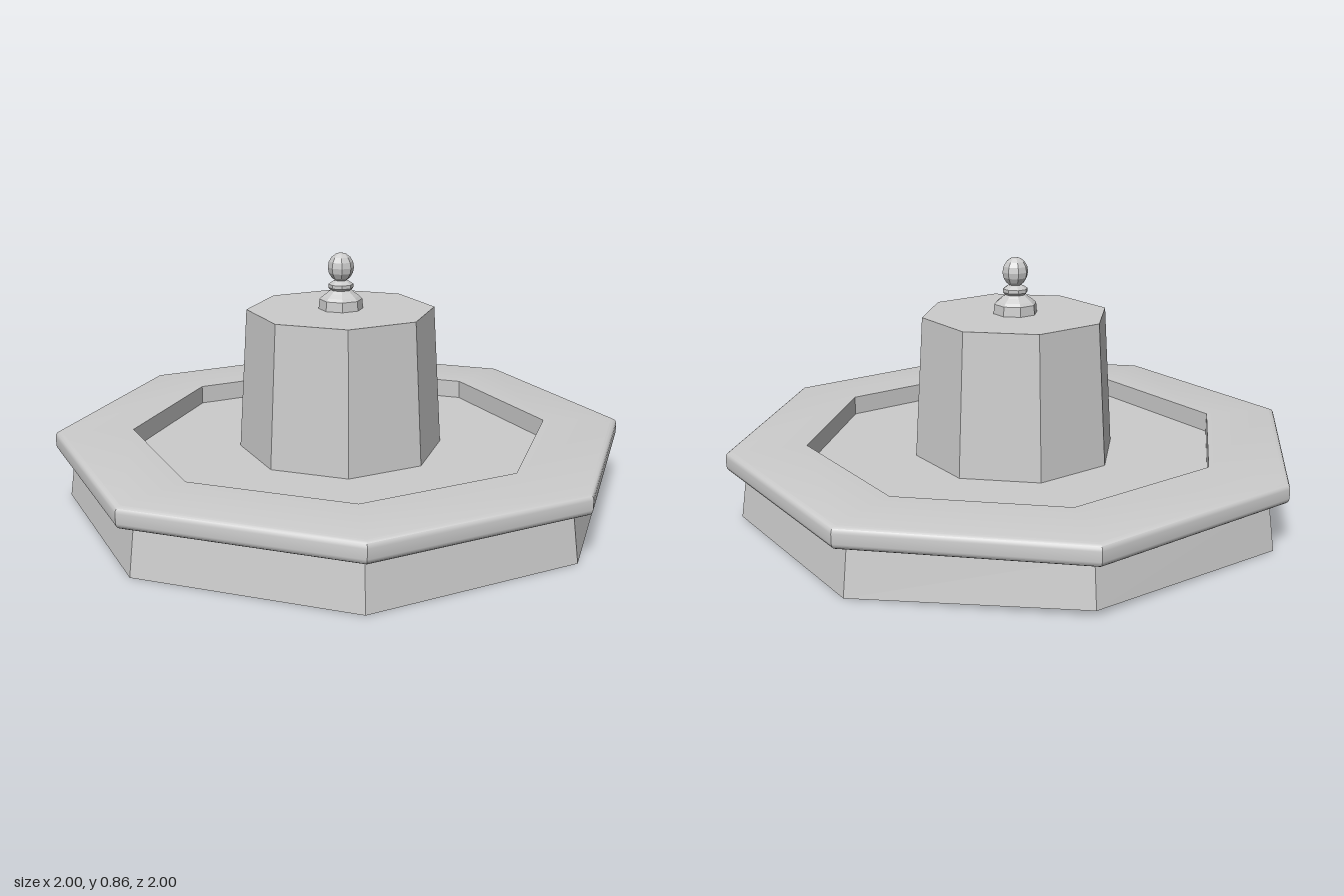
import * as THREE from 'three';
import { toCreasedNormals } from 'three/addons/utils/BufferGeometryUtils.js';

const SIDES = 8;
const material = new THREE.MeshStandardMaterial({ color: 0xcccccc, flatShading: true });
const smoothMaterial = new THREE.MeshStandardMaterial({ color: 0xcccccc });

export function createModel() {
  const group = new THREE.Group();
  const add = (name, geometry, y = 0, mat = material) => {
    const mesh = new THREE.Mesh(geometry, mat);
    mesh.name = name;
    mesh.position.y = y;
    group.add(mesh);
    return mesh;
  };
  // Eight-sided turned part, profile listed from bottom to top
  const turned = (points) =>
    new THREE.LatheGeometry(points.map(([r, y]) => new THREE.Vector2(r, y)), SIDES);

  // Basin base: flared towards the ground, its top is the basin floor
  const floorY = 0.17;
  const base = new THREE.CylinderGeometry(0.935, 0.96, floorY, SIDES);
  base.translate(0, floorY / 2, 0);
  // The rear bottom corner sits slightly off the ground
  const pos = base.attributes.position;
  for (let i = 0; i < pos.count; i++) {
    if (pos.getY(i) < 0.001 && pos.getZ(i) < -0.9) pos.setY(i, 0.02);
  }
  add('basinBase', base);

  // Basin rim: flat ring with rounded outer edges
  const bottom = 0.167, top = 0.238, bevel = 0.02;
  const profile = [[0.73, bottom]];
  for (const [cy, start] of [[bottom + bevel, -Math.PI / 2], [top - bevel, 0]]) {
    for (let i = 0; i <= 4; i++) {
      const a = start + (i / 4) * (Math.PI / 2);
      profile.push([1 - bevel + Math.cos(a) * bevel, cy + Math.sin(a) * bevel]);
    }
  }
  profile.push([0.73, top], [0.73, bottom]);
  add('basinRim', toCreasedNormals(turned(profile), 0.5), 0, smoothMaterial);

  // Central tapered column
  const columnTop = 0.662;
  const columnHeight = columnTop - floorY;
  add('column', new THREE.CylinderGeometry(0.325, 0.357, columnHeight, SIDES), floorY + columnHeight / 2);

  // Finial foot and collar
  add('finialFoot', turned([
    [0.077, columnTop], [0.074, 0.695], [0.064, 0.705], [0.046, 0.718],
    [0.036, 0.727], [0.043, 0.735], [0.043, 0.747], [0.028, 0.757], [0, 0.765],
  ]));

  // Finial ball, slightly taller than wide
  const ball = new THREE.SphereGeometry(0.045, SIDES, 8);
  ball.scale(1, 1.12, 1);
  add('finialBall', ball, 0.805);

  return group;
}
